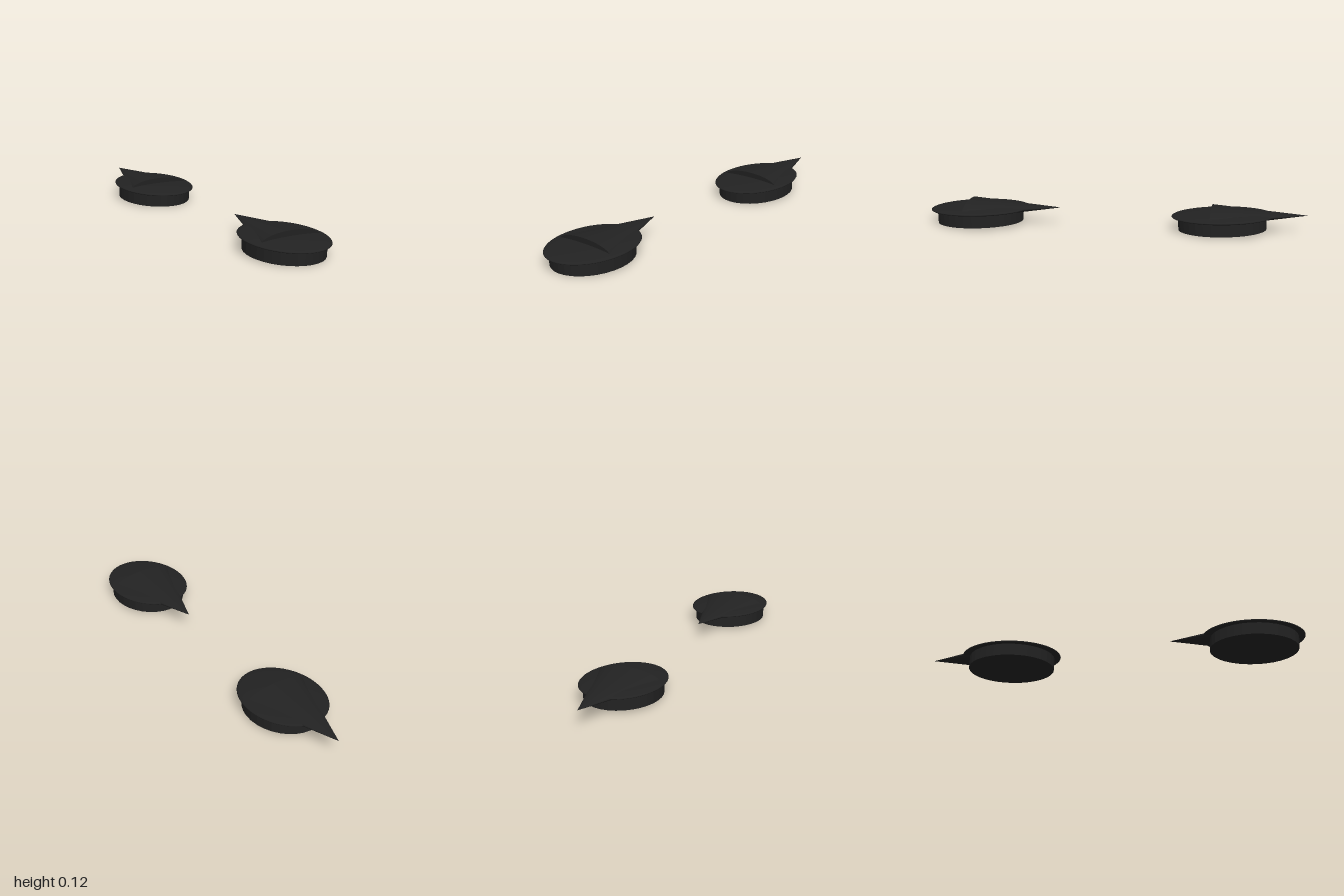
import * as THREE from 'three';

const black = new THREE.MeshStandardMaterial({ color: 0x222222 });
black.name = 'matte black';

function part(name, geometry) {
  const mesh = new THREE.Mesh(geometry, black);
  mesh.name = name;
  return mesh;
}

// One pointed knob, built level around the middle of its cap
function createKnob(name) {
  const knob = new THREE.Group();
  knob.name = name;

  // Lens-shaped oval cap
  knob.add(part('cap', new THREE.SphereGeometry(1, 64, 24).scale(0.204, 0.02, 0.2665)));

  // Faceted oval base under the cap
  const base = new THREE.CylinderGeometry(1, 1, 0.071, 32)
    .scale(0.188, 1, 0.23)
    .translate(0, -0.0355, 0.003)
    .toNonIndexed();
  base.computeVertexNormals();
  knob.add(part('base', base));

  // Flattened cone: its flat end makes the step on the cap, its tip points back
  const pointer = new THREE.ConeGeometry(1, 0.495, 48)
    .rotateX(-Math.PI / 2)
    .scale(0.17, 0.048, 1)
    .translate(0, 0, -0.191);
  knob.add(part('pointer', pointer));

  knob.rotation.x = 0.033; // leans slightly forward
  return knob;
}

export function createModel() {
  const model = new THREE.Group();
  model.name = 'pointedKnobs';
  [['frontKnob', 0.7335], ['backKnob', -0.5615]].forEach(([name, z]) => {
    const knob = createKnob(name);
    knob.position.set(0, 0.0785, z);
    model.add(knob);
  });
  return model;
}
